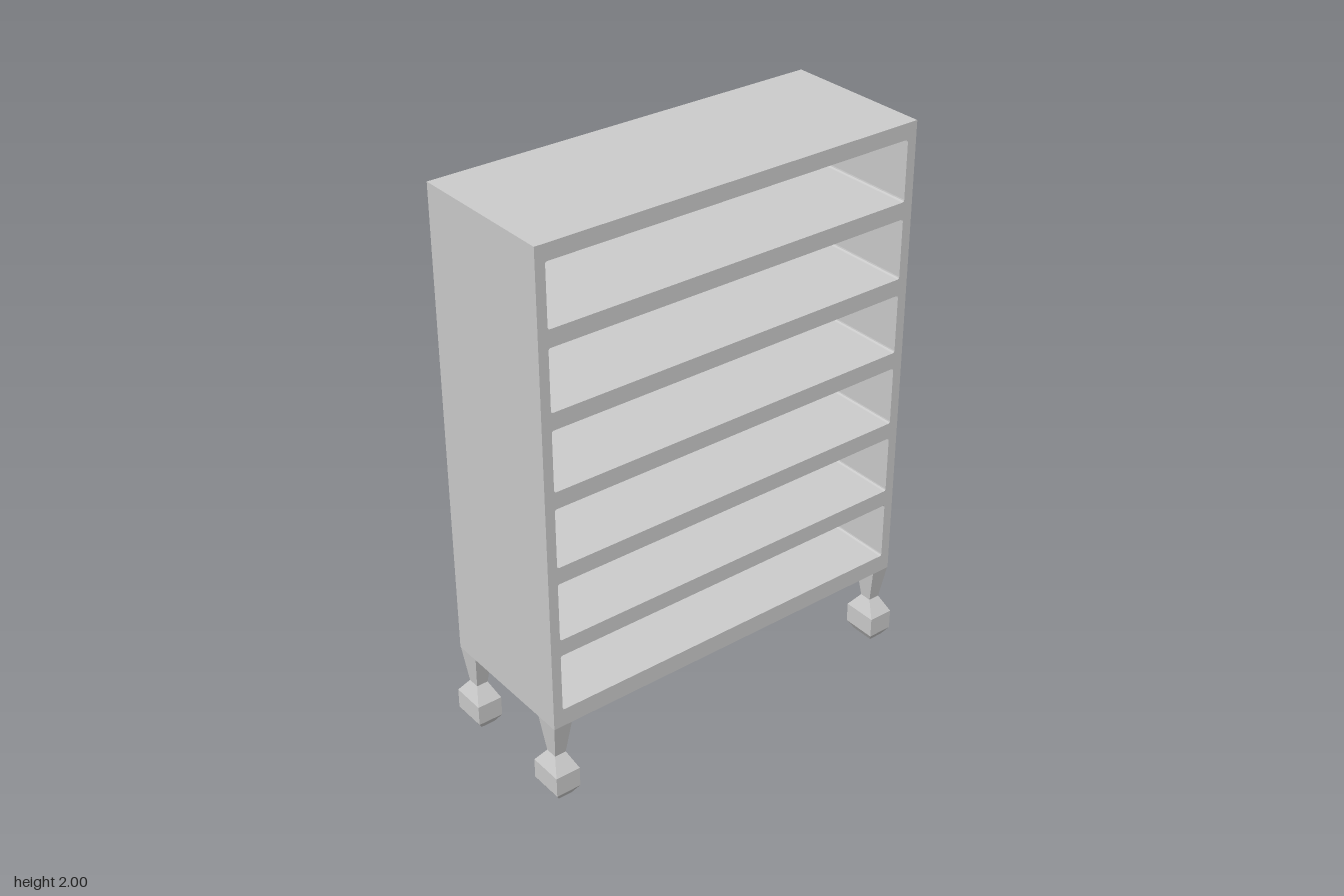
import * as THREE from 'three';

const W = 0.725, D = 0.275, BASE = 0.295, TOP = 2, BACK = 0.03;
const material = new THREE.MeshStandardMaterial({ color: 0xcccccc, flatShading: true });

function part(name, geometry) {
  const mesh = new THREE.Mesh(geometry, material);
  mesh.name = name;
  return mesh;
}

// Rectangle with slightly rounded corners
function roundedRect(path, x0, y0, x1, y1, r) {
  path.moveTo(x0 + r, y0);
  path.lineTo(x1 - r, y0);
  path.quadraticCurveTo(x1, y0, x1, y0 + r);
  path.lineTo(x1, y1 - r);
  path.quadraticCurveTo(x1, y1, x1 - r, y1);
  path.lineTo(x0 + r, y1);
  path.quadraticCurveTo(x0, y1, x0, y1 - r);
  path.lineTo(x0, y0 + r);
  path.quadraticCurveTo(x0, y0, x0 + r, y0);
  return path;
}

// Carcass with six open compartments
function carcassGeometry() {
  const shape = new THREE.Shape();
  shape.moveTo(-W, BASE);
  shape.lineTo(W, BASE);
  shape.lineTo(W, TOP);
  shape.lineTo(-W, TOP);
  shape.closePath();
  for (let i = 0; i < 6; i++) {
    const y = 0.36 + i * 0.274;
    shape.holes.push(roundedRect(new THREE.Path(), -0.69, y, 0.69, y + 0.214, 0.008));
  }
  const geometry = new THREE.ExtrudeGeometry(shape, {
    depth: 2 * D - BACK, bevelEnabled: false, curveSegments: 3,
  });
  return geometry.translate(0, 0, -D + BACK);
}

// Tapered square leg with a block foot: [y, half width, half depth], top to bottom
const legProfile = [
  [0.295, 0.034, 0.045],
  [0.162, 0.021, 0.022],
  [0.107, 0.046, 0.063],
  [0.033, 0.046, 0.063],
  [0, 0.026, 0.042],
];

function legGeometry() {
  const n = legProfile.length - 1;
  const geometry = new THREE.BoxGeometry(2, n, 2, 1, n, 1);
  const pos = geometry.attributes.position;
  for (let i = 0; i < pos.count; i++) {
    const [y, hx, hz] = legProfile[Math.round(n / 2 - pos.getY(i))];
    pos.setXYZ(i, pos.getX(i) * hx, y, pos.getZ(i) * hz);
  }
  geometry.computeVertexNormals();
  return geometry;
}

export function createModel() {
  const group = new THREE.Group();
  group.name = 'shelfCabinet';

  group.add(part('carcass', carcassGeometry()));

  const back = part('backPanel', new THREE.BoxGeometry(2 * W, TOP - BASE, BACK));
  back.position.set(0, (TOP + BASE) / 2, -D + BACK / 2);
  group.add(back);

  // Four corner legs
  const leg = legGeometry();
  for (const [zName, sz] of [['front', 1], ['back', -1]]) {
    for (const [xName, sx] of [['Left', 1], ['Right', -1]]) {
      const mesh = part(`${zName}${xName}Leg`, leg);
      mesh.position.set(sx * 0.69, 0, sz * 0.229);
      group.add(mesh);
    }
  }
  return group;
}
